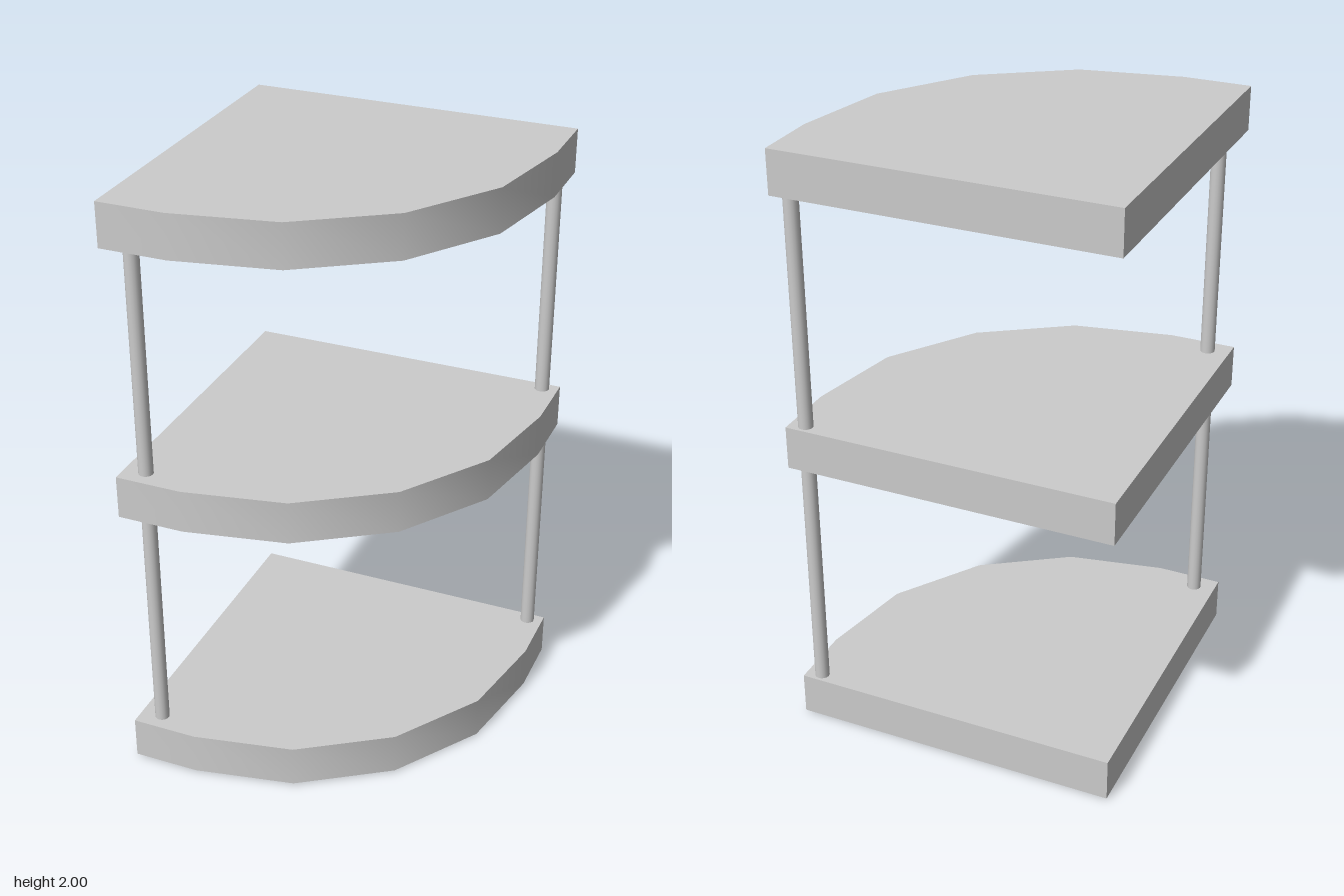
import * as THREE from 'three';
import { toCreasedNormals } from 'three/addons/utils/BufferGeometryUtils.js';

export function createModel() {
  const group = new THREE.Group();
  const material = new THREE.MeshStandardMaterial({ color: 0xcccccc });

  // Quarter-round corner shelf outline, as (x, z)
  const outline = [
    [-0.545, -0.545], [0.542, -0.545], [0.542, -0.325], [0.478, 0.003],
    [0.288, 0.287], [0.003, 0.476], [-0.325, 0.541], [-0.545, 0.541],
  ].map(([x, z]) => new THREE.Vector2(x, z));
  const thickness = 0.143;
  const extruded = new THREE.ExtrudeGeometry(new THREE.Shape(outline), { depth: thickness, bevelEnabled: false });
  extruded.rotateX(Math.PI / 2); // top face at y = 0
  const shelfGeometry = toCreasedNormals(extruded, 0.7);

  // Three shelves, placed by their top face
  [['bottomShelf', 0.148], ['middleShelf', 1.096], ['topShelf', 2]].forEach(([name, top]) => {
    const shelf = new THREE.Mesh(shelfGeometry, material);
    shelf.name = name;
    shelf.position.y = top;
    group.add(shelf);
  });

  // Two round posts near the ends of the curved edge
  const postHeight = 1.9;
  const postGeometry = new THREE.CylinderGeometry(0.024, 0.024, postHeight, 16);
  [['frontPost', -0.472, 0.482], ['sidePost', 0.489, -0.512]].forEach(([name, x, z]) => {
    const post = new THREE.Mesh(postGeometry, material);
    post.name = name;
    post.position.set(x, postHeight / 2, z);
    group.add(post);
  });

  return group;
}
